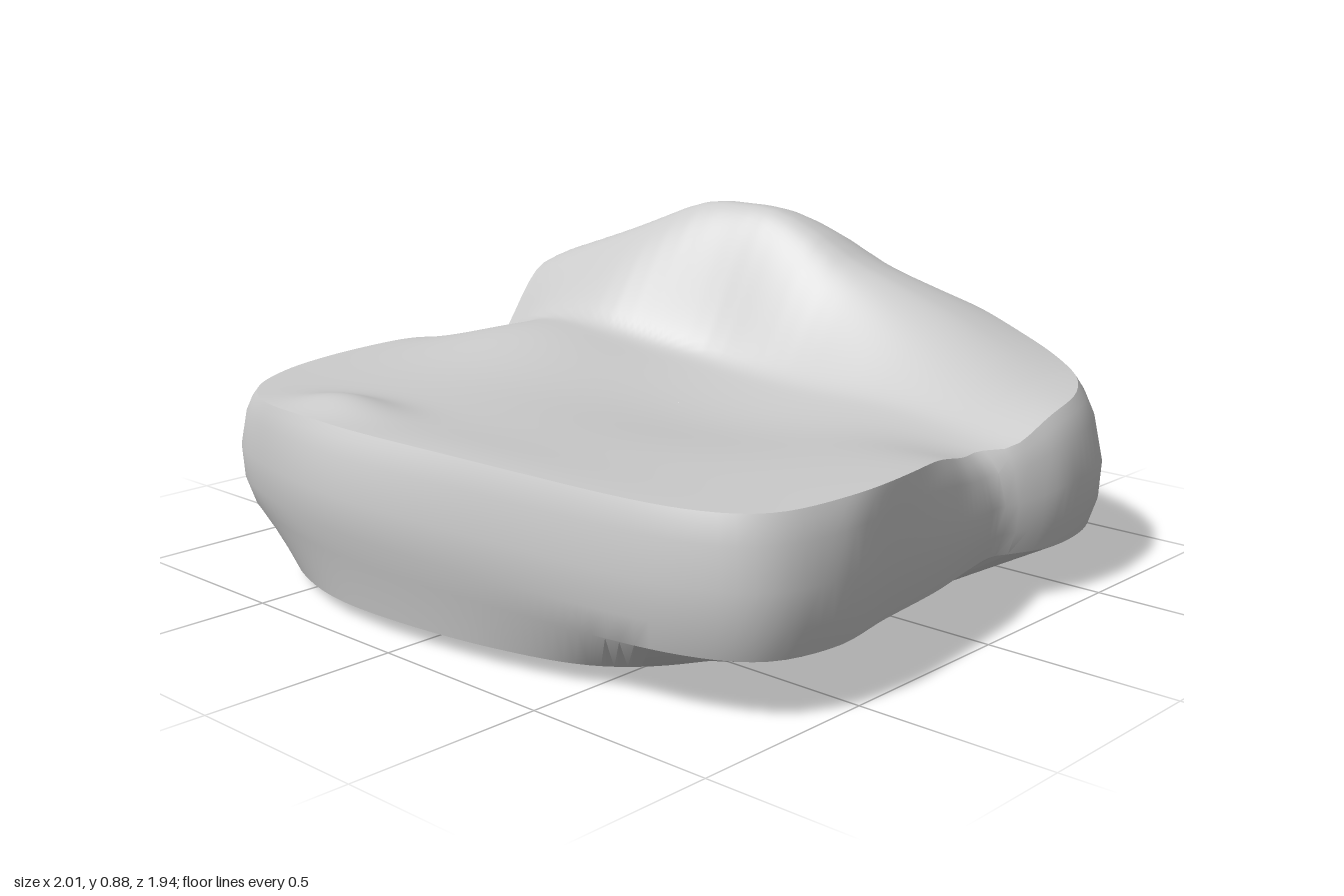
import * as THREE from 'three';
import { toCreasedNormals } from 'three/addons/utils/BufferGeometryUtils.js';

const SEGMENTS = 200, TOP_RINGS = 70;
const { lerp, clamp, smoothstep, mapLinear } = THREE.MathUtils;

// outlines seen from above, [x, z]: underside, widest girth, upper rim
const BASE = [
  [-0.25, 0.92], [0.25, 0.89], [0.52, 0.8], [0.66, 0.62], [0.7, 0.35], [0.7, 0], [0.71, -0.3], [0.7, -0.52],
  [0.63, -0.68], [0.48, -0.76], [0.2, -0.8], [-0.3, -0.82], [-0.55, -0.77], [-0.72, -0.65], [-0.81, -0.45],
  [-0.83, -0.1], [-0.84, 0.3], [-0.79, 0.58], [-0.66, 0.77], [-0.5, 0.86],
];
const GIRTH = [
  [-0.25, 0.97], [0.3, 0.94], [0.8, 0.85], [0.95, 0.75], [1.0, 0.57], [0.97, 0.35], [0.94, 0.1],
  [0.9, -0.1], [0.885, -0.22], [0.91, -0.28], [0.945, -0.4], [0.92, -0.6], [0.85, -0.73], [0.7, -0.84],
  [0.5, -0.89], [0.25, -0.92], [0, -0.94], [-0.3, -0.97], [-0.6, -0.92], [-0.8, -0.8], [-0.93, -0.6],
  [-0.975, -0.4], [-0.985, -0.2], [-1, 0.1], [-1, 0.4], [-0.94, 0.65], [-0.82, 0.82], [-0.6, 0.91],
];
const RIM = [
  [-0.25, 0.925], [0.3, 0.91], [0.8, 0.82], [0.925, 0.72], [0.965, 0.5], [0.945, 0.25], [0.89, 0.05],
  [0.84, -0.1], [0.82, -0.2], [0.875, -0.27], [0.89, -0.4], [0.87, -0.55], [0.78, -0.7], [0.65, -0.78],
  [0.45, -0.82], [0.1, -0.88], [-0.1, -0.9], [-0.35, -0.91], [-0.6, -0.86], [-0.79, -0.73], [-0.9, -0.57],
  [-0.955, -0.42], [-0.95, -0.28], [-0.965, -0.1], [-0.975, 0.2], [-0.965, 0.4], [-0.91, 0.6], [-0.79, 0.78],
  [-0.6, 0.885],
];
// along x: height of the raised back's crest, z of the crest, z of its front foot
const CREST = [[-1, 0.62], [-0.92, 0.67], [-0.8, 0.71], [-0.6, 0.78], [-0.38, 0.875], [-0.15, 0.87], [0, 0.81],
  [0.1, 0.745], [0.4, 0.635], [0.6, 0.555], [0.75, 0.505], [1, 0.47]];
const CREST_Z = [[-1, -0.46], [-0.6, -0.48], [-0.38, -0.54], [0.1, -0.61], [0.4, -0.66], [1, -0.68]];
const FOOT = [[-1, -0.22], [-0.5, -0.23], [-0.2, -0.31], [0.4, -0.31], [1, -0.26]];

function lookup(table, x) {
  let i = 0;
  while (i < table.length - 2 && x > table[i + 1][0]) i++;
  const [a, b] = [table[i], table[i + 1]];
  return mapLinear(clamp(x, a[0], b[0]), a[0], b[0], a[1], b[1]);
}
const smoothLookup = (table, x) =>
  (lookup(table, x - 0.06) + 2 * lookup(table, x) + lookup(table, x + 0.06)) / 4;

// smooth outline resampled at even angles, as a list of radii
function radii(points) {
  const curve = new THREE.CatmullRomCurve3(points.map(([x, z]) => new THREE.Vector3(x, 0, z)), true, 'centripetal');
  const polar = curve.getPoints(400).slice(0, 400).map((p) => [Math.atan2(p.x, p.z), Math.hypot(p.x, p.z)]);
  polar.sort((a, b) => a[0] - b[0]);
  const first = polar[0], last = polar[polar.length - 1];
  const table = [[last[0] - 2 * Math.PI, last[1]], ...polar, [first[0] + 2 * Math.PI, first[1]]];
  return Array.from({ length: SEGMENTS }, (_, i) => lookup(table, angle(i)));
}
const angle = (i) => (i / SEGMENTS) * 2 * Math.PI - Math.PI;

const bump = (x, z, cx, cz, rx, rz) => Math.exp(-(((x - cx) / rx) ** 2) - ((z - cz) / rz) ** 2);

// height of the upper surface: gently dished seat rising into the back
function topHeight(x, z) {
  const seat = 0.47
    + 0.06 * bump(x, z, -0.63, -0.1, 0.3, 0.35)
    + 0.035 * bump(x, z, -0.42, 0.78, 0.16, 0.1)
    + 0.02 * bump(x, z, 0.1, 0.9, 0.6, 0.2)
    - 0.06 * bump(x, z, 0.2, 0, 0.5, 0.42)
    - 0.07 * bump(x, z, 0.92, -0.2, 0.3, 0.22)
    - 0.09 * bump(x, z, -1, -0.24, 0.15, 0.22);
  const foot = smoothLookup(FOOT, x), crestZ = smoothLookup(CREST_Z, x);
  const u = (foot - z) / (foot - crestZ);
  const t = clamp((u + Math.sqrt(u * u + 0.01)) / 2, 0, 1);
  const soft = 0.65 * Math.exp(-(((x + 0.05) / 0.35) ** 2));
  const rise = lerp(Math.sin(t * Math.PI / 2), smoothstep(t, 0, 1), soft);
  const behind = Math.max(0, crestZ - z);
  const crest = 0.45 + (smoothLookup(CREST, x) - 0.45) * (1 - Math.min(0.6, 5 * behind ** 2));
  return lerp(seat, Math.max(crest, 0.46), rise);
}

function shellGeometry() {
  const base = radii(BASE), girth = radii(GIRTH), rim = radii(RIM);
  const rings = [];
  const addRing = (radius, height) => {
    for (let i = 0; i < SEGMENTS; i++) {
      const r = radius(i);
      const x = r * Math.sin(angle(i)), z = r * Math.cos(angle(i));
      rings.push(x, height(x, z, i), z);
    }
  };

  // underside, slightly raised towards the front and right
  for (const s of [0.001, 0.5, 1]) {
    addRing((i) => base[i] * s, (x, z) => 0.02 + 0.018 * x * (z > 0 ? 1 : 0.5) + 0.022 * z);
  }
  // chamfer and walls: [inset from girth towards rim, girth scale, height fraction]
  for (const [inset, scale, t] of [[0, 0.975, 0], [0, 0.995, 0.22], [0, 1, 0.5], [0.35, 1, 0.8], [0.7, 1, 0.93]]) {
    addRing((i) => lerp(girth[i], rim[i], inset) * scale, (x, z, i) => {
      const low = 0.15 - 0.015 * x + 0.015 * z;
      const top = topHeight(rim[i] * Math.sin(angle(i)), rim[i] * Math.cos(angle(i)));
      return lerp(low, top, t - 0.3 * t * (1 - t) * smoothstep(-z, 0.4, 0.8));
    });
  }
  // upper surface
  for (let k = 0; k < TOP_RINGS; k++) {
    const s = 1 - 0.999 * (k / (TOP_RINGS - 1));
    addRing((i) => rim[i] * s, topHeight);
  }

  const index = [];
  const count = rings.length / 3 / SEGMENTS;
  for (let r = 0; r < count - 1; r++) {
    for (let i = 0; i < SEGMENTS; i++) {
      const j = (i + 1) % SEGMENTS;
      const [a, b, c, d] = [r * SEGMENTS + i, r * SEGMENTS + j, (r + 1) * SEGMENTS + j, (r + 1) * SEGMENTS + i];
      index.push(a, b, c, a, c, d);
    }
  }
  const geometry = new THREE.BufferGeometry();
  geometry.setAttribute('position', new THREE.Float32BufferAttribute(rings, 3));
  geometry.setIndex(index);
  return toCreasedNormals(geometry, 0.6);
}

export function createModel() {
  const group = new THREE.Group();
  group.name = 'rockSeat';
  const shell = new THREE.Mesh(shellGeometry(), new THREE.MeshStandardMaterial({ color: 0xcccccc }));
  shell.name = 'rockShell';
  group.add(shell);
  return group;
}
